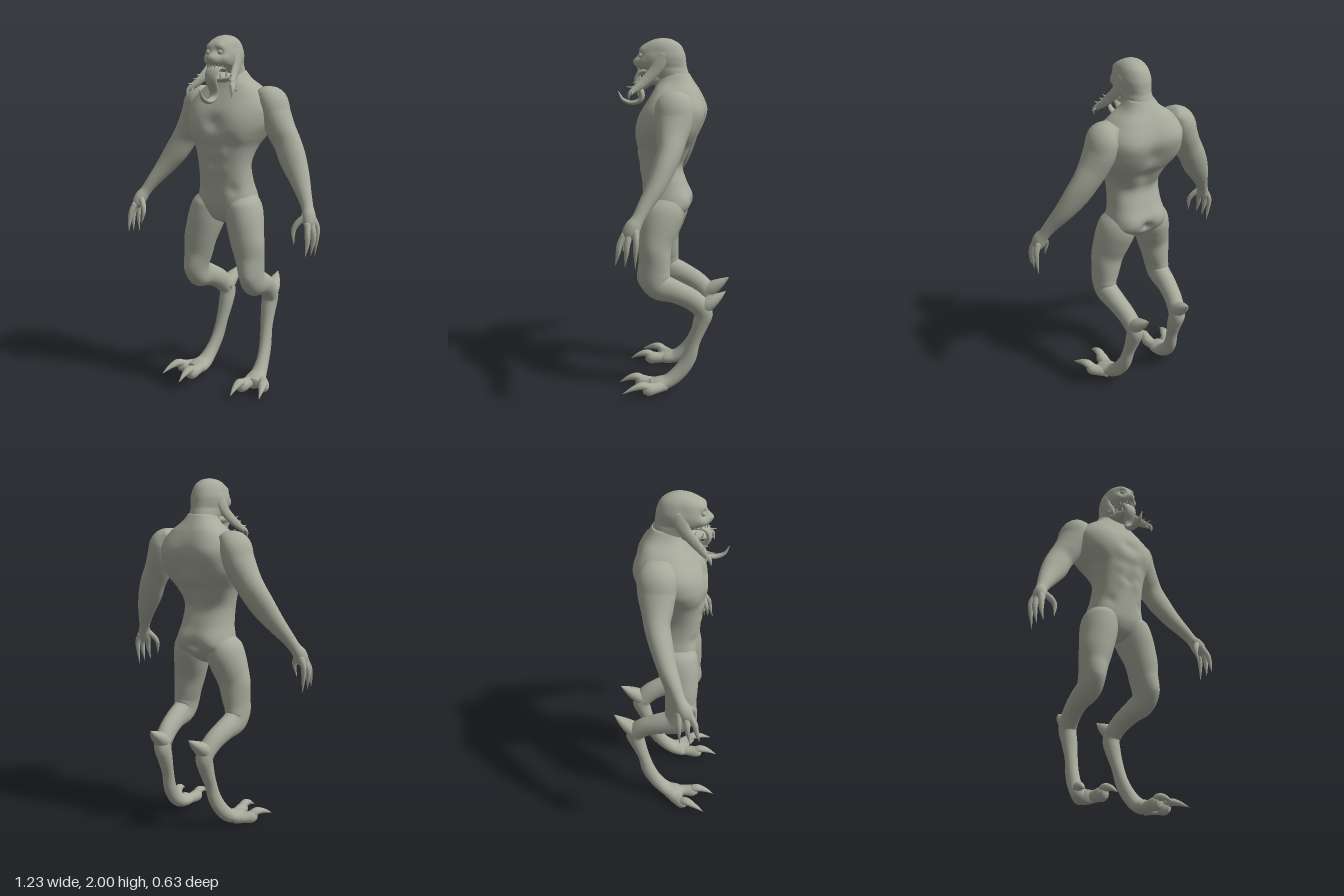
import * as THREE from 'three';

const skin = new THREE.MeshStandardMaterial({ color: 0xa8ab9c });
skin.name = 'greyGreenSkin';

// Smooth closed loft. Rows are [x, y, z, halfWidth, halfDepth] along a path.
// flat keeps the rings horizontal; bumps are [x, y, z, radius, amount].
function loft(rows, { sides = 16, steps = 4, flat = false, power = 2, bumps = [] } = {}) {
  const path = new THREE.CatmullRomCurve3(rows.map(r => new THREE.Vector3(r[0], r[1], r[2])), false, 'catmullrom');
  const size = new THREE.CatmullRomCurve3(rows.map(r => new THREE.Vector3(r[3], r[4], 0)), false, 'catmullrom');
  const count = (rows.length - 1) * steps;
  const pos = [], index = [];
  const round = v => Math.sign(v) * Math.abs(v) ** (2 / power);
  for (let i = 0; i <= count; i++) {
    const c = path.getPoint(i / count), s = size.getPoint(i / count);
    const t = flat ? new THREE.Vector3(0, -1, 0) : path.getTangent(i / count);
    const u = new THREE.Vector3(1, 0, 0).addScaledVector(t, -t.x).normalize();
    const v = new THREE.Vector3().crossVectors(t, u);
    for (let j = 0; j < sides; j++) {
      const a = (j / sides) * Math.PI * 2;
      const d = new THREE.Vector3()
        .addScaledVector(u, round(Math.cos(a)) * Math.max(s.x, 0.001))
        .addScaledVector(v, round(Math.sin(a)) * Math.max(s.y, 0.001));
      const p = c.clone().add(d), out = d.normalize();
      let push = 0;
      for (const [x, y, z, r, amount] of bumps) {
        const q = (p.x - x) ** 2 + (p.y - y) ** 2 + (p.z - z) ** 2;
        push += amount * Math.exp(-q / (r * r));
      }
      p.addScaledVector(out, push);
      pos.push(p.x, p.y, p.z);
    }
  }
  for (let i = 0; i < count; i++) for (let j = 0; j < sides; j++) {
    const k = (j + 1) % sides, a = i * sides, b = a + sides;
    index.push(a + j, a + k, b + j, a + k, b + k, b + j);
  }
  // end caps
  const first = pos.length / 3, last = first + 1, end = count * sides;
  pos.push(...path.getPoint(0).toArray(), ...path.getPoint(1).toArray());
  for (let j = 0; j < sides; j++) {
    const k = (j + 1) % sides;
    index.push(first, k, j, last, end + j, end + k);
  }
  const g = new THREE.BufferGeometry();
  g.setAttribute('position', new THREE.Float32BufferAttribute(pos, 3));
  g.setIndex(index);
  g.computeVertexNormals();
  return g;
}

// Rows given as [y, halfWidth, front z, back z]
const slices = list => list.map(([y, w, f, b]) => [0, y, (f + b) / 2, w, (f - b) / 2]);
const mirror = (rows, s) => rows.map(([x, ...rest]) => [s * x, ...rest]);
const paired = list => list.flatMap(b => (b[0] ? [b, ...mirror([b], -1)] : [b]));

export function createModel() {
  const model = new THREE.Group();
  model.name = 'clawedCreature';
  const add = (name, geometry, parent = model) => {
    const mesh = new THREE.Mesh(geometry, skin);
    mesh.name = name;
    parent.add(mesh);
    return mesh;
  };
  const spike = (name, parent, from, to, r) => {
    const a = new THREE.Vector3(...from), b = new THREE.Vector3(...to), d = b.clone().sub(a);
    const m = add(name, new THREE.ConeGeometry(r, d.length(), 8), parent);
    m.position.copy(a).add(b).multiplyScalar(0.5);
    m.quaternion.setFromUnitVectors(new THREE.Vector3(0, 1, 0), d.normalize());
  };

  // Torso: chest, abdomen, back and hips with muscle relief
  add('torso', loft(slices([
    [1.81, 0.07, 0.06, -0.09], [1.76, 0.105, 0.085, -0.12], [1.715, 0.17, 0.105, -0.145],
    [1.66, 0.225, 0.135, -0.165], [1.6, 0.25, 0.165, -0.172], [1.52, 0.24, 0.19, -0.16],
    [1.45, 0.205, 0.205, -0.13], [1.39, 0.175, 0.192, -0.095], [1.3, 0.153, 0.18, -0.05],
    [1.2, 0.153, 0.172, -0.075], [1.12, 0.168, 0.168, -0.095], [1.05, 0.18, 0.16, -0.085],
    [0.99, 0.11, 0.13, -0.03], [0.96, 0.02, 0.08, 0.02],
  ]), { sides: 72, steps: 7, flat: true, power: 2.4, bumps: paired([
    [0.11, 1.55, 0.17, 0.09, 0.015], [0.1, 1.435, 0.2, 0.04, -0.01], [0, 1.53, 0.19, 0.04, -0.016],
    [0.12, 1.6, -0.16, 0.085, 0.024], [0.17, 1.47, -0.09, 0.08, 0.018], [0, 1.52, -0.15, 0.05, -0.018],
    [0, 1.38, -0.09, 0.05, -0.016], [0.06, 1.34, -0.07, 0.05, 0.01], [0.085, 1.1, -0.09, 0.07, 0.02],
    [0, 1.07, -0.09, 0.028, -0.035], [0.05, 1.36, 0.19, 0.035, 0.008], [0.05, 1.28, 0.18, 0.035, 0.007],
    [0, 1.3, 0.18, 0.022, -0.008], [0.11, 1.16, 0.15, 0.035, -0.01], [0.09, 1.71, -0.08, 0.06, 0.012],
  ]) }));

  // Head: skull with brow, eye sockets, cheeks and open upper jaw
  const head = new THREE.Group();
  head.name = 'head';
  model.add(head);
  add('skull', loft(slices([
    [2.0, 0.004, 0.06, 0.045], [1.99, 0.042, 0.11, 0.0], [1.96, 0.07, 0.165, -0.045],
    [1.91, 0.086, 0.192, -0.068], [1.87, 0.086, 0.205, -0.074], [1.842, 0.08, 0.198, -0.078],
    [1.82, 0.077, 0.14, -0.085], [1.77, 0.075, 0.09, -0.1], [1.7, 0.075, 0.06, -0.11],
  ]), { sides: 56, steps: 6, flat: true, power: 2.15, bumps: paired([
    [0.04, 1.905, 0.185, 0.02, -0.022], [0.038, 1.94, 0.17, 0.025, 0.012], [0, 1.875, 0.205, 0.025, 0.02],
    [0.06, 1.87, 0.16, 0.022, 0.008], [0.018, 1.868, 0.215, 0.008, -0.01], [0.07, 1.92, 0.08, 0.03, -0.006],
  ]) }), head);
  add('lowerJaw', loft([
    [0, 1.78, 0.03, 0.06, 0.04], [0, 1.775, 0.1, 0.058, 0.032], [0, 1.768, 0.16, 0.045, 0.02],
    [0, 1.765, 0.195, 0.028, 0.01],
  ]), head);
  add('tongue', loft([
    [0, 1.82, 0.11, 0.045, 0.014], [0, 1.815, 0.18, 0.044, 0.014], [0, 1.76, 0.203, 0.036, 0.016],
    [0, 1.7, 0.175, 0.029, 0.015], [0, 1.66, 0.185, 0.024, 0.015], [0, 1.645, 0.235, 0.02, 0.012],
    [0, 1.665, 0.285, 0.013, 0.009], [0, 1.71, 0.31, 0.002, 0.002],
  ], { sides: 16, steps: 6 }), head);
  for (let i = -4; i <= 4; i++) {
    const a = i * 0.25, x = 0.07 * Math.sin(a), z = 0.07 + 0.125 * Math.cos(a);
    spike('upperTooth', head, [x, 1.848, z], [x, i % 2 ? 1.812 : 1.822, z + 0.004], 0.007);
  }

  for (const s of [1, -1]) {
    const side = s > 0 ? 'left' : 'right';
    const part = (name, rows, options, parent = model) => add(side + name, loft(mirror(rows, s), options), parent);

    // Eyes and jagged side mandibles
    const eye = add(side + 'Eye', new THREE.SphereGeometry(0.014, 16, 12), head);
    eye.position.set(s * 0.038, 1.905, 0.172);
    part('Mandible', [
      [0.076, 1.92, 0.04, 0.008, 0.02], [0.08, 1.87, 0.06, 0.013, 0.036], [0.086, 1.82, 0.09, 0.015, 0.032],
      [0.1, 1.77, 0.14, 0.016, 0.028], [0.123, 1.73, 0.185, 0.015, 0.02], [0.143, 1.705, 0.215, 0.01, 0.012],
      [0.142, 1.67, 0.225, 0.002, 0.002],
    ], { sides: 12 }, head);
    [
      [[0.13, 1.72, 0.2], [0.168, 1.7, 0.2], 0.011], [[0.125, 1.725, 0.19], [0.12, 1.68, 0.225], 0.01],
      [[0.11, 1.75, 0.165], [0.135, 1.755, 0.185], 0.009], [[0.1, 1.78, 0.15], [0.11, 1.79, 0.185], 0.009],
      [[0.11, 1.76, 0.17], [0.115, 1.765, 0.21], 0.009], [[0.125, 1.735, 0.195], [0.13, 1.74, 0.24], 0.009],
      [[0.095, 1.79, 0.12], [0.118, 1.775, 0.125], 0.009], [[0.04, 1.772, 0.17], [0.042, 1.805, 0.178], 0.007],
      [[0.052, 1.78, 0.13], [0.055, 1.815, 0.14], 0.007],
    ].forEach(([from, to, r]) => spike(side + 'MandibleTooth', head,
      [s * from[0], from[1], from[2]], [s * to[0], to[1], to[2]], r));

    // Arm from deltoid to palm
    part('Arm', [
      [0.18, 1.7, -0.04, 0.035, 0.06], [0.235, 1.65, -0.04, 0.078, 0.1], [0.262, 1.57, -0.04, 0.082, 0.1],
      [0.3, 1.49, -0.035, 0.08, 0.084], [0.343, 1.42, -0.03, 0.077, 0.068], [0.392, 1.335, -0.005, 0.075, 0.06],
      [0.45, 1.245, 0.03, 0.058, 0.05], [0.505, 1.16, 0.075, 0.04, 0.038], [0.54, 1.1, 0.105, 0.032, 0.033],
      [0.56, 1.06, 0.128, 0.036, 0.042], [0.572, 1.02, 0.143, 0.028, 0.04], [0.576, 1.0, 0.148, 0.01, 0.018],
    ], { sides: 28, steps: 5 });

    // Clawed fingers and thumb
    [
      [[0.575, 1.05, 0.11], [0.597, 1.0, 0.105], [0.598, 0.94, 0.108], [0.59, 0.85, 0.112]],
      [[0.578, 1.03, 0.14], [0.598, 0.98, 0.15], [0.6, 0.93, 0.155], [0.592, 0.86, 0.165]],
      [[0.572, 1.03, 0.165], [0.585, 0.98, 0.19], [0.59, 0.93, 0.2], [0.587, 0.865, 0.216]],
      [[0.545, 1.06, 0.145], [0.51, 1.02, 0.17], [0.498, 0.98, 0.182], [0.508, 0.915, 0.192]],
    ].forEach(([a, b, c, d]) => part('Finger',
      [[...a, 0.018, 0.018], [...b, 0.016, 0.016], [...c, 0.012, 0.012], [...d, 0.001, 0.001]], { sides: 10 }));

    // Backward-bent leg from hip to foot
    part('Leg', [
      [0.09, 1.13, 0.04, 0.06, 0.09], [0.108, 1.06, 0.042, 0.098, 0.12], [0.132, 0.97, 0.062, 0.103, 0.115],
      [0.155, 0.87, 0.08, 0.093, 0.096], [0.172, 0.78, 0.08, 0.08, 0.09], [0.185, 0.7, 0.082, 0.067, 0.092],
      [0.187, 0.635, 0.055, 0.062, 0.083], [0.18, 0.6, -0.04, 0.055, 0.066], [0.165, 0.55, -0.135, 0.05, 0.06],
      [0.152, 0.48, -0.195, 0.048, 0.055], [0.15, 0.4, -0.178, 0.044, 0.045], [0.157, 0.3, -0.145, 0.036, 0.035],
      [0.168, 0.2, -0.115, 0.034, 0.042], [0.18, 0.12, -0.065, 0.036, 0.042], [0.19, 0.062, 0.0, 0.048, 0.04],
      [0.2, 0.045, 0.06, 0.062, 0.038], [0.21, 0.04, 0.105, 0.045, 0.03],
    ], { sides: 32, steps: 5, bumps: [
      [s * 0.2, 0.67, 0.17, 0.04, 0.008], [s * 0.24, 0.85, 0.08, 0.07, 0.008], [s * 0.1, 0.63, 0.05, 0.04, -0.008],
    ] });
    part('HeelSpur', [
      [0.152, 0.49, -0.17, 0.046, 0.05], [0.15, 0.53, -0.225, 0.046, 0.042], [0.143, 0.568, -0.278, 0.028, 0.024],
      [0.135, 0.602, -0.32, 0.002, 0.002],
    ], { sides: 16 });

    // Two toes, each with a hooked claw
    part('InnerToe', [
      [0.19, 0.045, 0.03, 0.035, 0.035], [0.178, 0.042, 0.11, 0.034, 0.032], [0.174, 0.042, 0.165, 0.034, 0.038],
      [0.174, 0.04, 0.195, 0.018, 0.022],
    ]);
    part('InnerClaw', [
      [0.174, 0.055, 0.15, 0.024, 0.022], [0.175, 0.07, 0.19, 0.025, 0.022], [0.175, 0.058, 0.24, 0.016, 0.014],
      [0.176, 0.028, 0.292, 0.001, 0.001],
    ], { sides: 12 });
    part('OuterToe', [
      [0.21, 0.045, 0.02, 0.035, 0.035], [0.255, 0.042, 0.065, 0.032, 0.032], [0.283, 0.042, 0.105, 0.032, 0.037],
      [0.295, 0.04, 0.13, 0.016, 0.02],
    ]);
    part('OuterClaw', [
      [0.278, 0.055, 0.095, 0.024, 0.022], [0.296, 0.07, 0.135, 0.026, 0.022], [0.315, 0.058, 0.185, 0.016, 0.014],
      [0.333, 0.03, 0.243, 0.001, 0.001],
    ], { sides: 12 });
  }
  return model;
}
